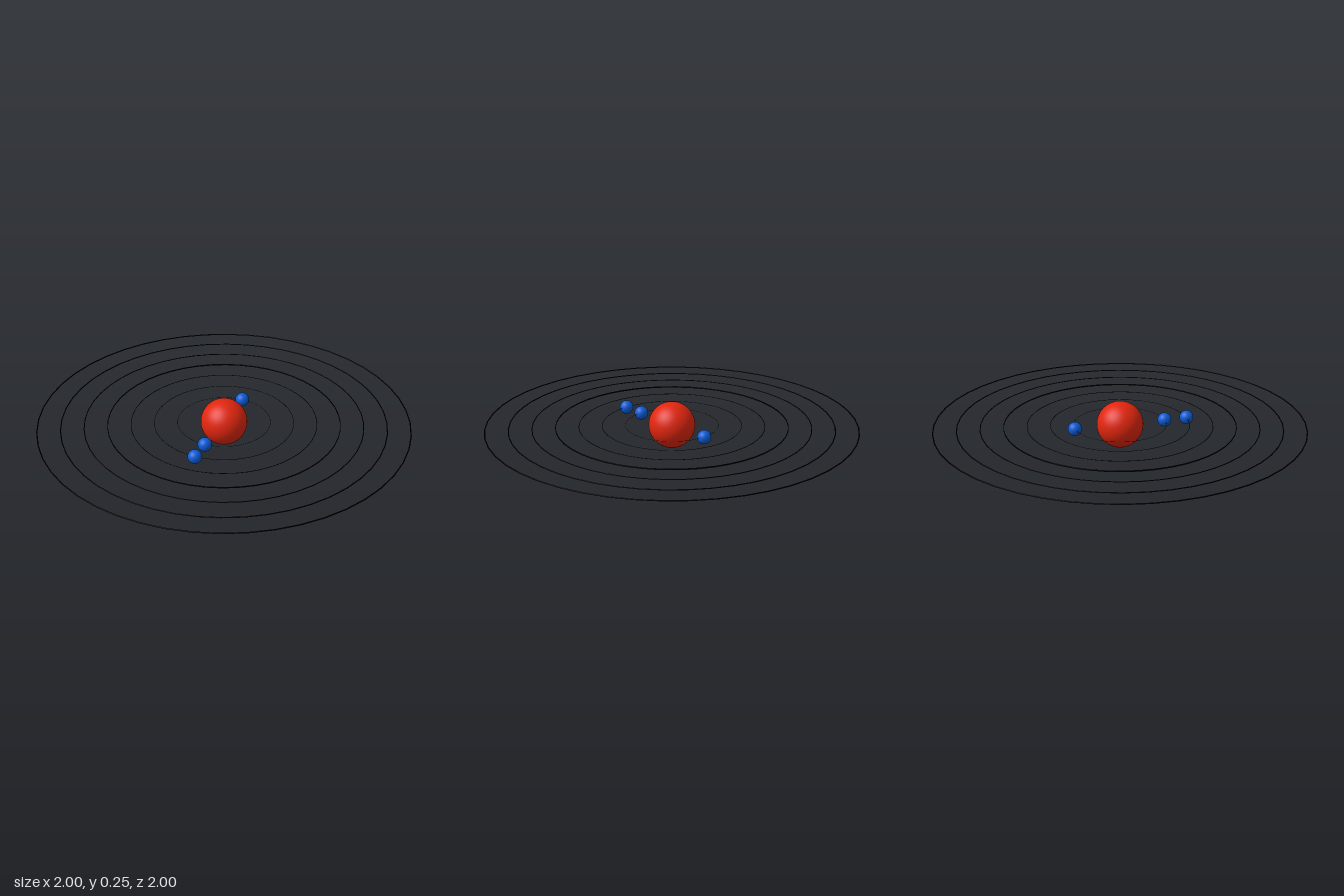
import * as THREE from 'three';

const CENTER_Y = 0.125;

export function createModel() {
  const model = new THREE.Group();
  model.name = 'atom';

  const red = new THREE.MeshStandardMaterial({ color: 0xe0260e });
  const blue = new THREE.MeshStandardMaterial({ color: 0x0b5cd6 });
  const black = new THREE.MeshStandardMaterial({ color: 0x000000 });

  const add = (name, geometry, material, z = 0) => {
    const mesh = new THREE.Mesh(geometry, material);
    mesh.name = name;
    mesh.position.set(0, CENTER_Y, z);
    model.add(mesh);
    return mesh;
  };

  // Nucleus
  add('nucleus', new THREE.SphereGeometry(0.125, 48, 32), red);

  // Electrons: two on the inner orbit, one on the second
  const electron = new THREE.SphereGeometry(0.0375, 32, 16);
  [0.25, -0.25, 0.375].forEach((z, i) => add(`electron${i + 1}`, electron, blue, z));

  // Seven flat orbits, evenly spaced; the wire thickens with the radius
  for (let i = 0; i < 7; i++) {
    const outer = 0.25 + i * 0.125;
    const wire = 0.0033 * outer;
    const ring = new THREE.TorusGeometry(outer - wire, wire, 8, 48);
    ring.rotateX(Math.PI / 2);
    // The fifth... inner-to-middle orbit of radius 0.625 has a taller wire
    if (i === 3) ring.scale(1, 2, 1);
    add(`orbit${i + 1}`, ring, black);
  }

  return model;
}
